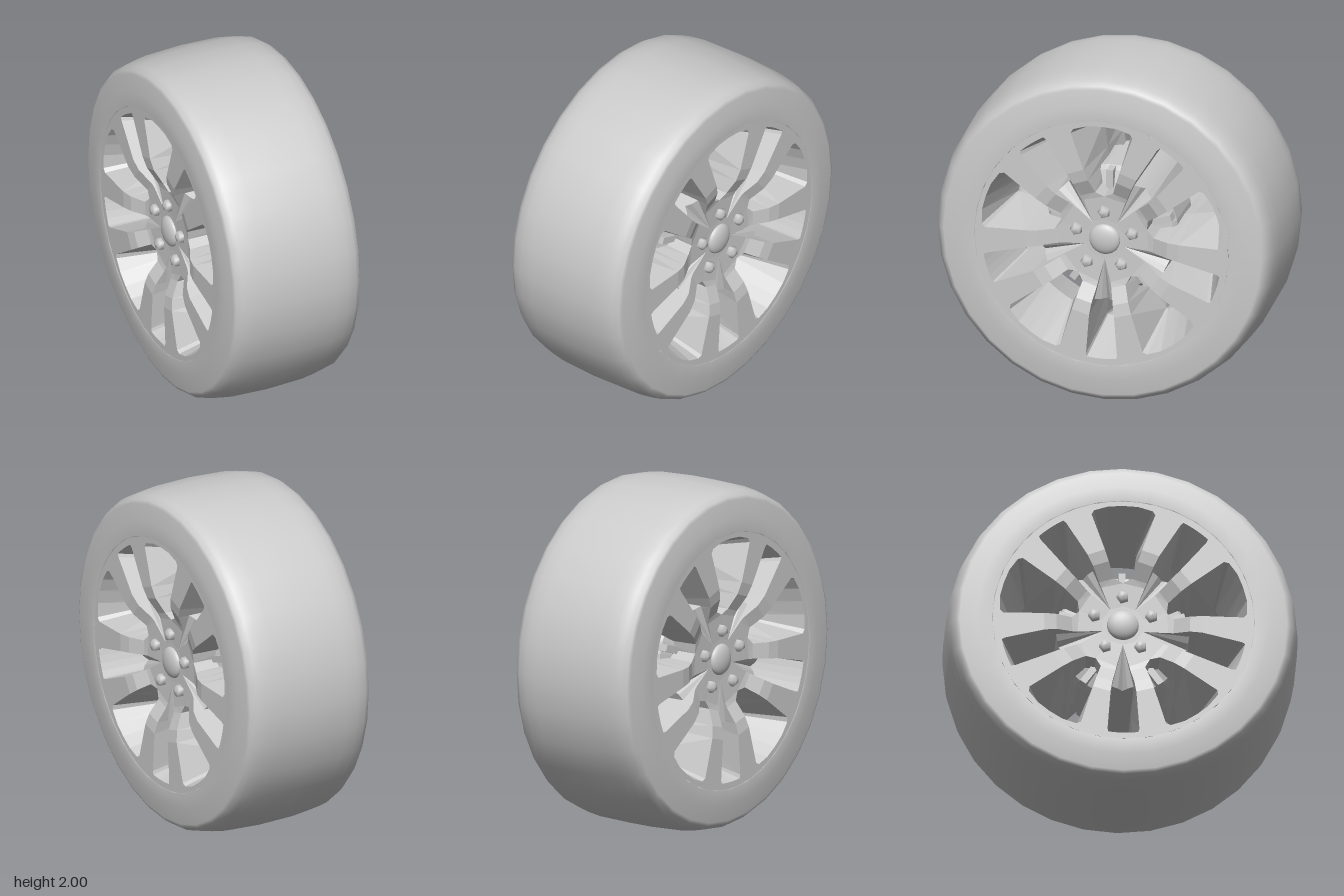
import * as THREE from 'three';

const material = (flat) => new THREE.MeshStandardMaterial({
  color: 0xcccccc, flatShading: flat, side: THREE.DoubleSide,
});
const smooth = material(false);
const faceted = material(true);
const SECTOR = Math.PI / 5; // wide-window centre to narrow-window centre

function addMesh(parent, name, geometry, mat) {
  const mesh = new THREE.Mesh(geometry, mat);
  mesh.name = name;
  parent.add(mesh);
  return mesh;
}

// Lathe around the x axis from [radius, x] pairs
function wheelLathe(points, segments) {
  const g = new THREE.LatheGeometry(points.map(([r, x]) => new THREE.Vector2(r, x)), segments);
  return g.rotateZ(-Math.PI / 2);
}

// Spoke stations: face radius, face x, wide and narrow window half widths,
// then the same radius and half widths at the middle plane of the wheel
const STATIONS = [
  [0.70, 0.413, 0.165, 0.085, 0.60, 0.085, 0.07],
  [0.68, 0.413, 0.18, 0.09, 0.59, 0.09, 0.073],
  [0.45, 0.413, 0.105, 0.073, 0.43, 0.07, 0.065],
  [0.38, 0.40, 0.082, 0.062, 0.37, 0.062, 0.06],
  [0.29, 0.355, 0.052, 0.042, 0.29, 0.045, 0.04],
  [0.26, 0.347, 0, 0.036, 0.26, 0, 0.034],
  [0.12, 0.34, 0, 0, 0.12, 0, 0],
];
const HUB_X = 0.34;

const polar = (r, angle, x) => [x, r * Math.cos(angle), r * Math.sin(angle)];

// One tenth of the wheel face: a spoke, its window walls and a piece of rim
function sectorGeometry(mirror) {
  const pos = [];
  const quad = (a, b, c, d) => pos.push(...a, ...b, ...c, ...a, ...c, ...d);
  const edges = (r, wide, narrow) => [Math.asin(wide / r), SECTOR - Math.asin(narrow / r)];

  // Cross-sections along the spoke: deep, face, face, deep
  const sections = STATIONS.map(([r, x, w, n, dr, dw, dn]) => {
    const [a, b] = edges(r, w, n);
    const [da, db] = edges(dr, dw, dn);
    return [polar(dr, da, 0), polar(r, a, x), polar(r, b, x), polar(dr, db, 0)];
  });
  for (let i = 0; i < sections.length - 1; i++) {
    for (let j = 0; j < 3; j++) {
      quad(sections[i][j], sections[i][j + 1], sections[i + 1][j + 1], sections[i + 1][j]);
    }
  }

  // Rim band and the sloping outer walls of the windows
  const [r, x, w, n, dr, dw, dn] = STATIONS[0];
  const samples = ([a, b]) => [0, a / 2, a, (a + b) / 2, b, (b + SECTOR) / 2, SECTOR];
  const face = samples(edges(r, w, n));
  const deep = samples(edges(dr, dw, dn));
  const chord = r * Math.cos((face[4] - face[2]) / 2);
  const innerRadius = [r + 0.01, r + 0.01, r, chord, r, r, r];
  const inner = (k) => polar(innerRadius[k], face[k], x);
  for (let i = 0; i < 6; i++) {
    quad(inner(i), polar(0.738, face[i], x), polar(0.738, face[i + 1], x), inner(i + 1));
    if (i !== 2 && i !== 3) {
      quad(inner(i), inner(i + 1), polar(dr, deep[i + 1], 0), polar(dr, deep[i], 0));
    }
  }

  // Groove floor between the paired spokes, with two slopes and an end wall
  const tip = polar(0.12, SECTOR, HUB_X);
  const side = polar(0.38, SECTOR - 0.165, 0.33);
  const middle = polar(0.38, SECTOR - 0.07, 0.31);
  const centre = polar(0.38, SECTOR, 0.28);
  quad(tip, tip, side, middle);
  quad(tip, tip, middle, centre);
  quad(side, polar(0.38, SECTOR - 0.165, 0), polar(0.38, SECTOR - 0.07, 0), middle);
  quad(middle, polar(0.38, SECTOR - 0.07, 0), polar(0.38, SECTOR, 0), centre);

  // Hub plate
  quad(polar(0, 0, HUB_X), polar(0.12, 0, HUB_X), polar(0.12, SECTOR / 2, HUB_X), tip);

  // Mirrored sectors also swap two corners to keep the faces outward
  for (let i = 0; mirror && i < pos.length; i += 9) {
    for (let k = 2; k < 9; k += 3) pos[i + k] *= -1;
    for (let k = 3; k < 6; k++) [pos[i + k], pos[i + 3 + k]] = [pos[i + 3 + k], pos[i + k]];
  }
  const g = new THREE.BufferGeometry();
  g.setAttribute('position', new THREE.Float32BufferAttribute(pos, 3));
  g.computeVertexNormals();
  return g;
}

function createFace() {
  const face = new THREE.Group();
  const halves = [sectorGeometry(false), sectorGeometry(true)];
  const lug = wheelLathe([[0.036, 0], [0.036, 0.025], [0.026, 0.037], [0, 0.042]], 5);
  const rib = new THREE.BoxGeometry(0.12, 0.13, 0.04);
  for (let k = 0; k < 5; k++) {
    const turn = new THREE.Group();
    turn.name = 'spokePair';
    turn.rotation.x = k * 2 * SECTOR;
    halves.forEach((g) => addMesh(turn, 'spoke', g, faceted));
    addMesh(turn, 'lugNut', lug, smooth).position.set(HUB_X, 0.17, 0);
    // Rib on the core, seen inside the wide window
    addMesh(turn, 'coreRib', rib, faceted).position.set(0.17, 0.31, 0);
    face.add(turn);
  }
  const cap = addMesh(face, 'centreCap', new THREE.SphereGeometry(0.09, 24, 16), smooth);
  cap.scale.x = 0.4;
  cap.position.x = HUB_X;
  return face;
}

export function createModel() {
  const wheel = new THREE.Group();
  wheel.name = 'wheel';
  wheel.position.y = 1;

  // Tyre, from one bead over the tread to the other
  const half = [[0.738, 0.405], [0.742, 0.419], [0.83, 0.409], [0.925, 0.398],
    [0.945, 0.388], [0.968, 0.355], [0.98, 0.30], [0.992, 0.22]];
  const tyre = [...half.map(([r, x]) => [r, -x]), [1, 0], ...half.slice().reverse()];
  addMesh(wheel, 'tyre', wheelLathe(tyre, 32), smooth);

  // Core between the two faces
  const core = [[0, -0.24], [0.2, -0.23], [0.36, -0.18], [0.38, -0.15],
    [0.38, 0.15], [0.36, 0.18], [0.2, 0.23], [0, 0.24]];
  addMesh(wheel, 'hubCore', wheelLathe(core, 30), faceted);

  // The same spoked face on both sides
  [['leftFace', 0], ['rightFace', Math.PI]].forEach(([name, turn]) => {
    const face = createFace();
    face.name = name;
    face.rotation.y = turn;
    wheel.add(face);
  });

  const model = new THREE.Group();
  model.add(wheel);
  return model;
}
